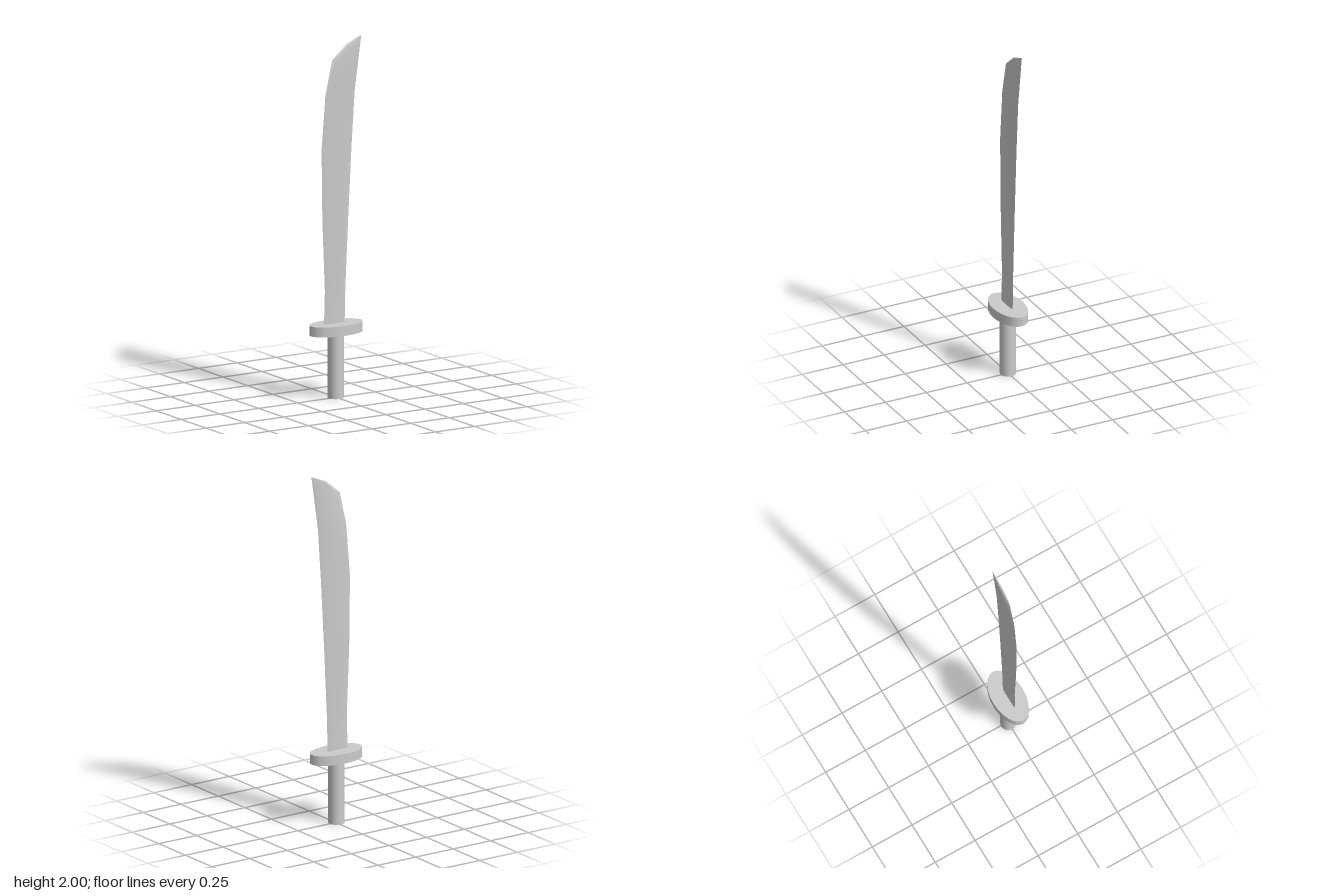
import * as THREE from 'three';
import { toCreasedNormals } from 'three/addons/utils/BufferGeometryUtils.js';

const material = new THREE.MeshStandardMaterial({ color: 0xcccccc });

function addPart(group, name, geometry) {
  const mesh = new THREE.Mesh(geometry, material);
  mesh.name = name;
  group.add(mesh);
  return mesh;
}

// Blade: thin six-sided sections running from the cutting edge to the spine.
// Each station is [edge x, edge y, spine x, spine y, half thickness].
function bladeGeometry() {
  const stations = [
    [-0.08, 0.38, 0.053, 0.38, 0.005],
    [-0.074, 0.6, 0.058, 0.6, 0.005],
    [-0.09, 1.0, 0.077, 1.0, 0.005],
    [-0.095, 1.39, 0.098, 1.39, 0.006],
    [-0.07, 1.69, 0.118, 1.69, 0.007],
    [-0.027, 1.88, 0.143, 1.87, 0.007],
    [0.065, 1.96, 0.154, 1.95, 0.006],
    [0.16, 2.0, 0.161, 1.998, 0.001],
  ];
  const ring = [[0, 0], [0.12, 1], [0.88, 1], [1, 0], [0.88, -1], [0.12, -1]];
  const n = ring.length;
  const positions = [];
  const index = [];
  stations.forEach(([ex, ey, sx, sy, t], i) => {
    for (const [u, side] of ring) {
      positions.push(ex + (sx - ex) * u, ey + (sy - ey) * u, t * side);
    }
    if (i === 0) return;
    for (let k = 0; k < n; k++) {
      const a = (i - 1) * n + k;
      const b = (i - 1) * n + ((k + 1) % n);
      index.push(a, b + n, a + n, a, b, b + n);
    }
  });
  // Close the base and the tip
  const last = (stations.length - 1) * n;
  for (let k = 1; k < n - 1; k++) {
    index.push(0, k + 1, k, last, last + k, last + k + 1);
  }
  // Sections run from edge to spine along the front, so sides wind outward
  const geometry = new THREE.BufferGeometry();
  geometry.setAttribute('position', new THREE.Float32BufferAttribute(positions, 3));
  geometry.setIndex(index);
  return toCreasedNormals(geometry, 0.6);
}

export function createModel() {
  const sword = new THREE.Group();
  sword.name = 'sword';

  addPart(sword, 'blade', bladeGeometry());

  // Oval guard
  const guard = addPart(sword, 'guard', new THREE.CylinderGeometry(1, 1, 0.055, 24));
  guard.scale.set(0.163, 1, 0.09);
  guard.position.set(-0.002, 0.3875, 0);

  // Round grip
  const grip = addPart(sword, 'grip', new THREE.CylinderGeometry(0.044, 0.044, 0.37, 24));
  grip.position.set(-0.004, 0.185, 0);

  return sword;
}
